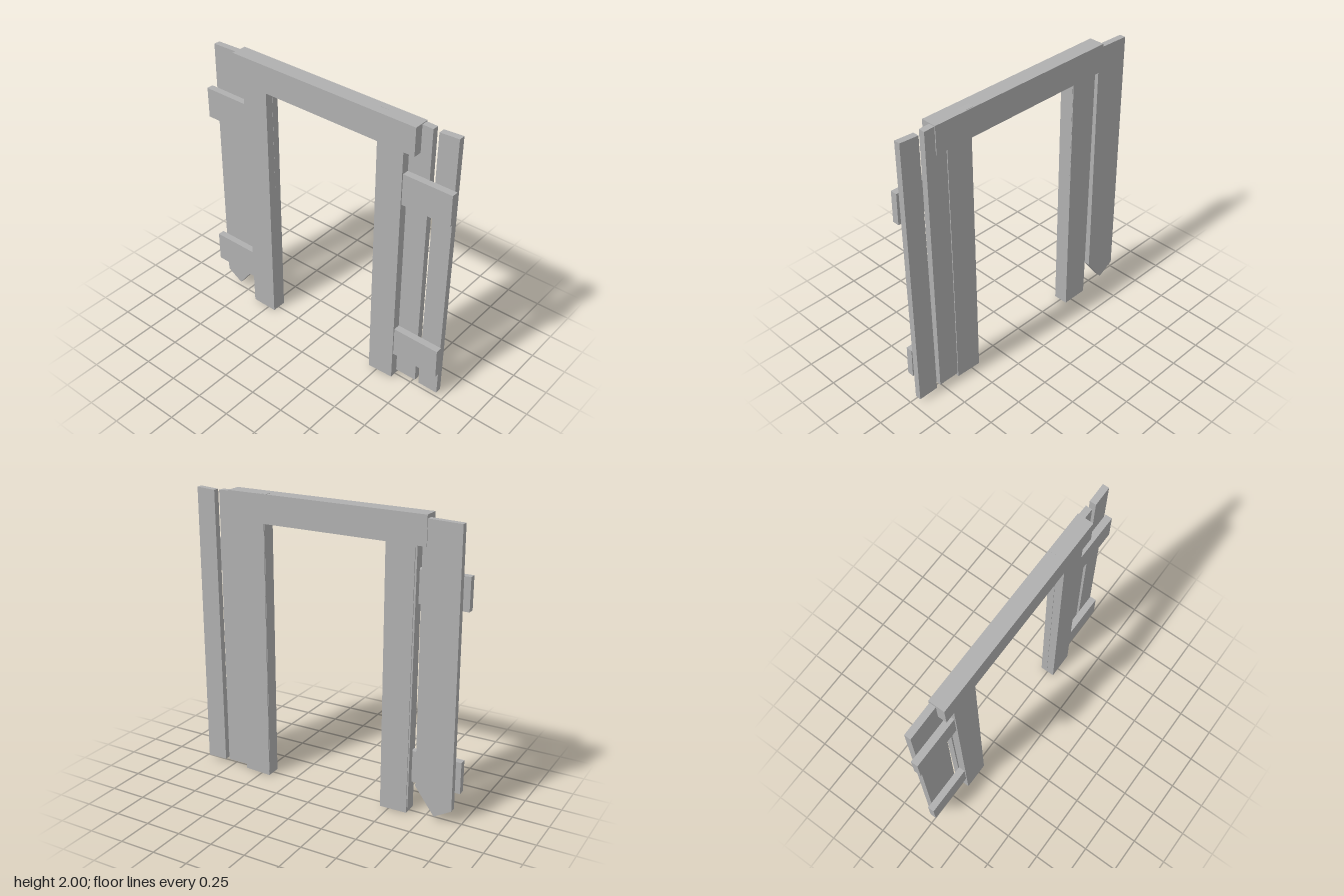
import * as THREE from 'three';

export function createModel() {
  const group = new THREE.Group();
  group.name = 'plankDoorway';
  const wood = new THREE.MeshStandardMaterial({ color: 0xb0b0b0 });
  wood.name = 'plainGrey';

  // A board: front outline extruded between two depths
  function board(name, points, zBack, zFront) {
    const shape = new THREE.Shape(points.map(([x, y]) => new THREE.Vector2(x, y)));
    const geometry = new THREE.ExtrudeGeometry(shape, { depth: zFront - zBack, bevelEnabled: false });
    geometry.translate(0, 0, zBack);
    const mesh = new THREE.Mesh(geometry, wood);
    mesh.name = name;
    group.add(mesh);
  }

  // Door frame
  board('lintel', [[-0.71, 1.805], [0.705, 1.805], [0.705, 1.998], [-0.71, 1.998]], -0.055, 0.055);
  board('rightPost', [[-0.63, 0.005], [-0.44, 0.003], [-0.44, 1.82], [-0.637, 1.82]], -0.055, 0.051);
  board('leftPost', [[0.435, 0], [0.625, 0.01], [0.625, 1.82], [0.435, 1.82]], -0.055, 0.051);

  // Upright wall planks, set behind the battens
  const planks = {
    rightInnerPlank: [[-0.638, 0.045], [-0.442, 0.045], [-0.438, 1.9], [-0.65, 1.9]],
    rightOuterPlank: [[-0.945, 0.1], [-0.825, 0.03], [-0.688, 0.215], [-0.68, 1.975], [-0.933, 1.967]],
    leftInnerPlank: [[0.433, 0.035], [0.78, 0.037], [0.78, 1.99], [0.61, 1.995], [0.41, 2], [0.432, 1.81]],
    leftOuterPlank: [[0.81, 0.03], [0.955, 0.03], [0.955, 1.993], [0.82, 1.985]],
  };
  for (const [name, points] of Object.entries(planks)) board(name, points, -0.049, -0.005);

  // Horizontal battens across the planks
  for (const [level, y0, y1, end0, end1] of [
    ['Lower', 0.215, 0.435, 0.965, 0.96],
    ['Upper', 1.43, 1.648, 0.975, 0.972],
  ]) {
    board(`right${level}Batten`, [[-0.98, y0], [-0.5, y0], [-0.5, y1], [-0.98, y1]], -0.005, 0.042);
    board(`left${level}Batten`, [[0.5, y0], [end0, y0 + 0.004], [end1, y1], [0.5, y1]], -0.005, 0.042);
  }
  return group;
}
